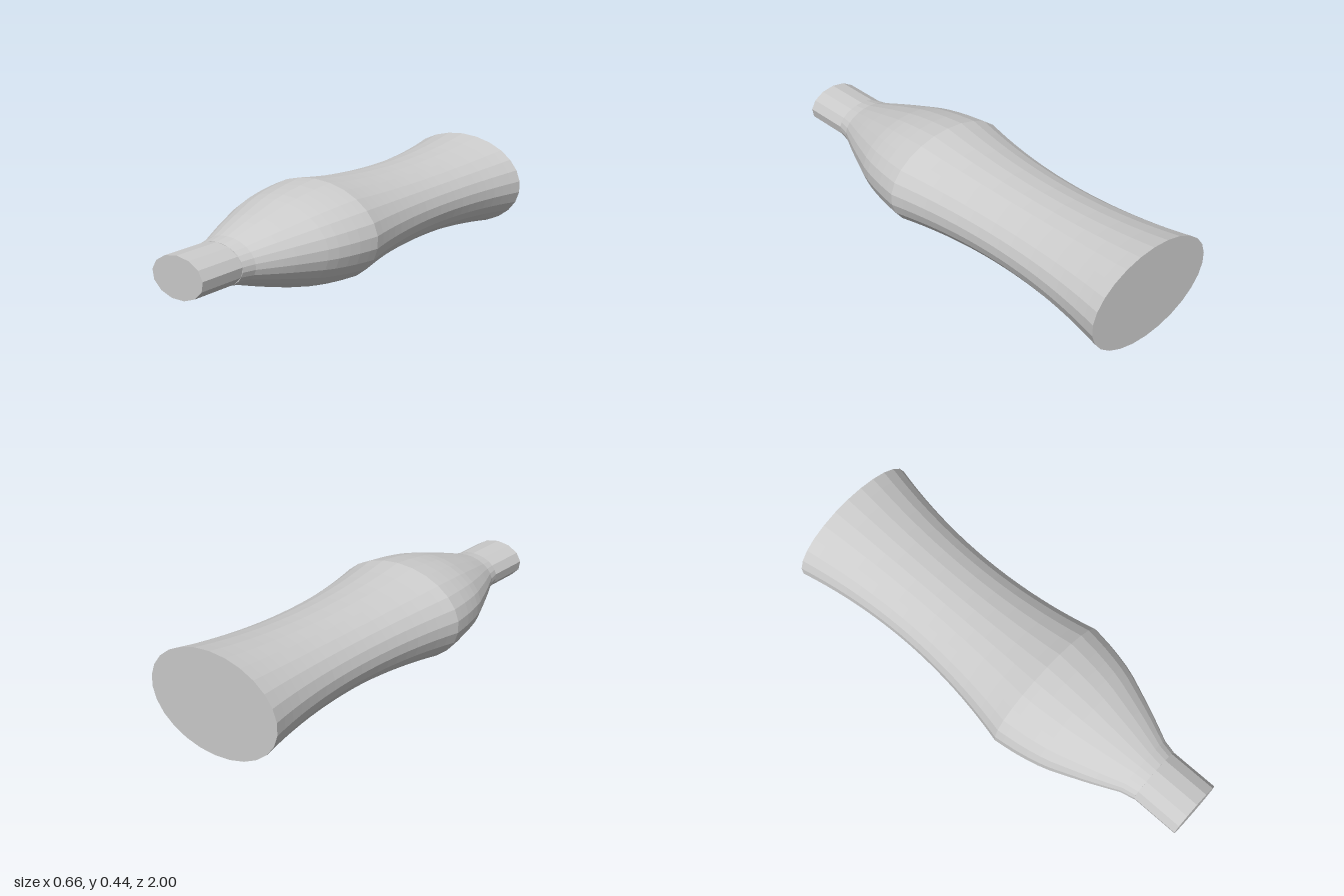
import * as THREE from 'three';

const CENTRE_Y = 0.2225;
const FLATTEN = 2 / 3; // height to width of every cross-section

// Elliptical solid along z from a list of [half width, z], running back to front
function ellipticalSolid(name, profile, sides, material) {
  const points = profile.map(([r, z]) => new THREE.Vector2(r, z));
  const geometry = new THREE.LatheGeometry(points, sides, Math.PI);
  geometry.scale(1, 1, FLATTEN);
  geometry.rotateX(Math.PI / 2);
  const mesh = new THREE.Mesh(geometry, material);
  mesh.name = name;
  mesh.position.y = CENTRE_Y;
  return mesh;
}

export function createModel() {
  const group = new THREE.Group();
  group.name = 'handle';
  const material = new THREE.MeshStandardMaterial({ color: 0xcccccc, flatShading: true });

  // Waisted grip: flat back end, narrowest in the middle, widest at the ridge
  const body = [[0, -1]];
  const back = -1, ridge = 0.17, steps = 20;
  for (let i = 0; i <= steps; i++) {
    const t = i / steps;
    body.push([0.262 + 0.07 * (2 * t - 1) ** 2, THREE.MathUtils.lerp(back, ridge, t)]);
  }

  // Rounded taper from the ridge down to the neck
  const taper = new THREE.SplineCurve([
    [0.332, 0.17], [0.316, 0.28], [0.287, 0.4], [0.247, 0.5], [0.204, 0.6], [0.147, 0.72],
  ].map(([r, z]) => new THREE.Vector2(r, z)));
  for (const p of taper.getPoints(11).slice(1)) body.push([p.x, p.y]);
  body.push([0.133, 0.78], [0, 0.78]);
  group.add(ellipticalSolid('gripBody', body, 26, material));

  // Straight faceted neck
  const neck = [[0, 0.77], [0.133, 0.77], [0.133, 1], [0, 1]];
  group.add(ellipticalSolid('neck', neck, 13, material));

  return group;
}
